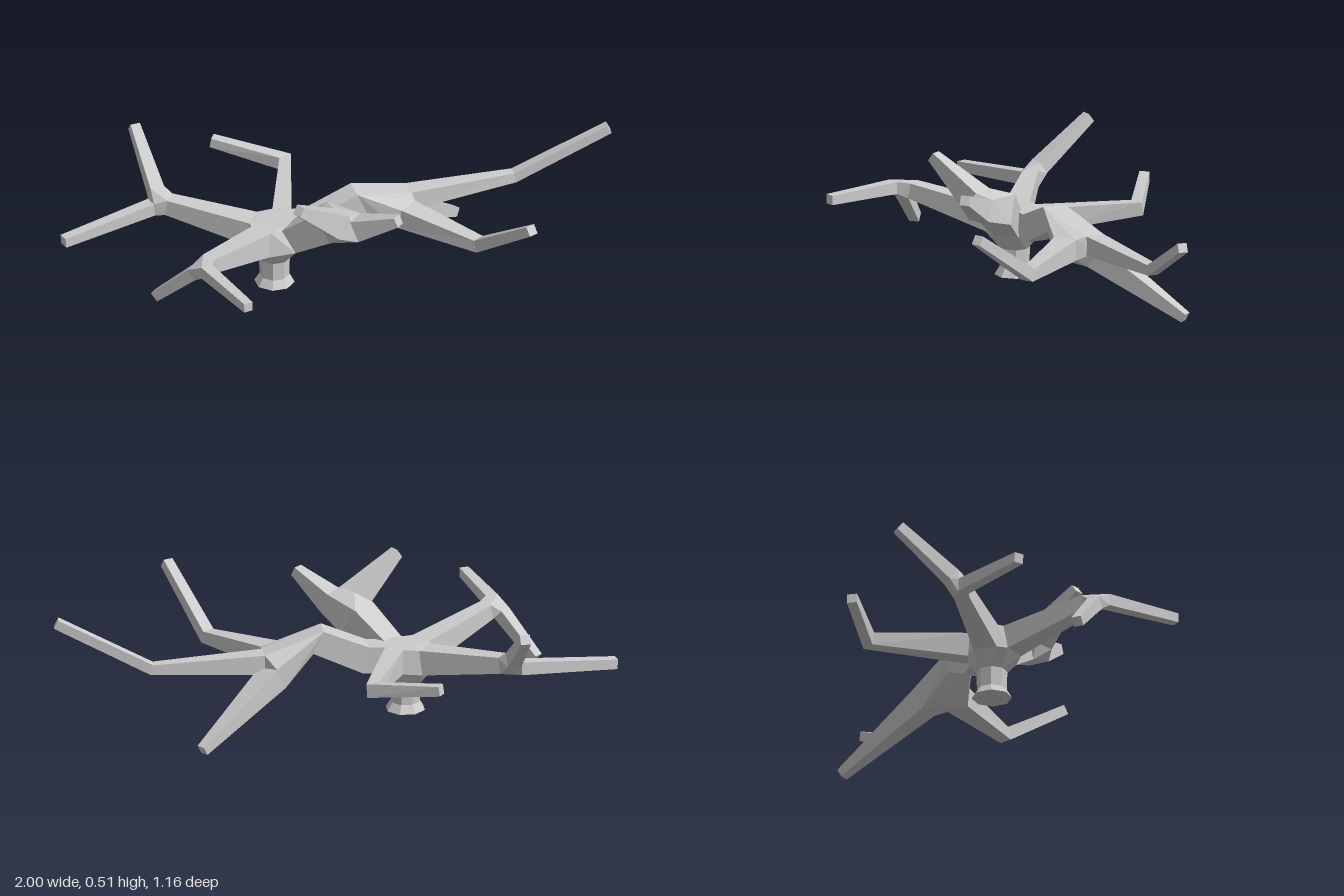
import * as THREE from 'three';
import { ConvexGeometry } from 'three/addons/geometries/ConvexGeometry.js';

const material = new THREE.MeshStandardMaterial({ color: 0xcccccc, flatShading: true });

function part(name, geometry) {
  const mesh = new THREE.Mesh(geometry, material);
  mesh.name = name;
  return mesh;
}

// Four-cornered cross-sections along a path; each node is [x, y, z, halfWidth, halfHeight]
function crossSections(nodes) {
  const p = nodes.map(n => new THREE.Vector3(n[0], n[1], n[2]));
  const up = new THREE.Vector3(0, 1, 0);
  const last = p.length - 1;
  return nodes.map((n, i) => {
    const before = p[i].clone().sub(p[Math.max(i - 1, 0)]).normalize();
    const after = p[Math.min(i + 1, last)].clone().sub(p[i]).normalize();
    const dir = before.clone().add(after).normalize();
    const side = new THREE.Vector3().crossVectors(dir, up).normalize();
    const top = new THREE.Vector3().crossVectors(side, dir).normalize();
    // widen the mitre at sideways bends
    if (i > 0 && i < last) {
      const a = before.setY(0).normalize(), b = after.setY(0).normalize();
      side.divideScalar(Math.max(0.6, Math.sqrt((1 + a.dot(b)) / 2)));
    }
    return [[-1, -1], [1, -1], [1, 1], [-1, 1]].map(([s, t]) =>
      p[i].clone().addScaledVector(side, s * n[3]).addScaledVector(top, t * (n[4] ?? n[3])));
  });
}

// Closed tapering branch through its cross-sections
function branchGeometry(rings) {
  const pos = [];
  const quad = (a, b, c, d) => [a, b, c, a, c, d].forEach(v => pos.push(v.x, v.y, v.z));
  const last = rings.length - 1;
  for (let i = 0; i < last; i++) {
    for (let k = 0; k < 4; k++) {
      const m = (k + 1) % 4;
      quad(rings[i][k], rings[i + 1][k], rings[i + 1][m], rings[i][m]);
    }
  }
  quad(...rings[0]);
  quad(...[...rings[last]].reverse());
  const geo = new THREE.BufferGeometry();
  geo.setAttribute('position', new THREE.Float32BufferAttribute(pos, 3));
  geo.computeVertexNormals();
  return geo;
}

export function createModel() {
  const model = new THREE.Group();
  model.name = 'branchingStem';

  const paths = {
    // Back right limb and its two twigs
    backRightLimb: [[-0.335, 0.23, -0.065, 0.043, 0.046], [-0.585, 0.272, -0.245, 0.028, 0.03]],
    backRightOuterTwig: [[-0.645, 0.262, -0.26, 0.022, 0.024], [-0.997, 0.23, -0.18, 0.018]],
    backRightUpperTwig: [[-0.617, 0.305, -0.298, 0.026], [-0.633, 0.458, -0.502, 0.018]],
    // Front right limb and its two twigs
    frontRightLimb: [[-0.335, 0.23, 0.035, 0.043, 0.046], [-0.585, 0.293, 0.225, 0.028, 0.028]],
    frontRightLowerTwig: [[-0.642, 0.275, 0.235, 0.023], [-0.75, 0.14, 0.13, 0.018]],
    frontRightOuterTwig: [[-0.612, 0.303, 0.29, 0.022], [-0.548, 0.307, 0.575, 0.017]],
    // Bent limb at the back
    backLimb: [[-0.215, 0.235, -0.085, 0.034, 0.045], [-0.1, 0.262, -0.42, 0.02, 0.025],
      [-0.325, 0.306, -0.565, 0.018]],
    // Arched left limb and its three arms
    leftLimb: [[-0.19, 0.235, -0.023, 0.043, 0.048], [-0.12, 0.235, -0.022, 0.041, 0.05],
      [0.05, 0.31, -0.02, 0.043, 0.045]],
    leftLongArm: [[0.25, 0.252, -0.072, 0.035, 0.036], [0.65, 0.255, -0.095, 0.019], [0.985, 0.423, -0.042, 0.017]],
    leftFrontArm: [[0.215, 0.242, 0.03, 0.043, 0.038], [0.405, 0.225, 0.275, 0.023], [0.518, 0.41, 0.535, 0.018]],
    leftDroopingArm: [[0.215, 0.207, -0.1, 0.04, 0.045], [0.495, 0.017, -0.305, 0.017]],
    // Raised front limb and its two stubby arms
    frontLimb: [[-0.21, 0.235, 0.04, 0.045, 0.048], [-0.11, 0.325, 0.13, 0.055, 0.058]],
    frontRightArm: [[-0.11, 0.368, 0.215, 0.042, 0.045], [-0.275, 0.5, 0.302, 0.018]],
    frontLeftArm: [[-0.03, 0.352, 0.24, 0.037, 0.04], [0.078, 0.427, 0.358, 0.018]],
  };
  const rings = {};
  for (const [name, nodes] of Object.entries(paths)) {
    rings[name] = crossSections(nodes);
    model.add(part(name, branchGeometry(rings[name])));
  }

  // Faceted joints spanning the end of a limb and the roots of its offshoots
  const joints = {
    backRightFork: ['backRightLimb', 'backRightOuterTwig', 'backRightUpperTwig'],
    frontRightFork: ['frontRightLimb', 'frontRightLowerTwig', 'frontRightOuterTwig'],
    leftFork: ['leftLimb', 'leftLongArm', 'leftFrontArm', 'leftDroopingArm'],
    frontFork: ['frontLimb', 'frontRightArm', 'frontLeftArm'],
  };
  for (const [name, [limb, ...offshoots]] of Object.entries(joints)) {
    const corners = [...rings[limb].at(-1), ...offshoots.flatMap(o => rings[o][0])];
    model.add(part(name, new ConvexGeometry(corners)));
  }

  // Eight-sided trunk with a flared foot
  const centre = new THREE.Vector3(-0.265, 0, -0.016);
  const profile = [[0, 0.03], [0.072, 0.03], [0.053, 0.06], [0.055, 0.13], [0, 0.13]]
    .map(([x, y]) => new THREE.Vector2(x, y));
  const trunk = part('trunk', new THREE.LatheGeometry(profile, 8, Math.PI / 8));
  trunk.position.copy(centre);
  model.add(trunk);

  // Hub widening from the trunk to the roots of the five limbs
  const hubCorners = ['backRightLimb', 'frontRightLimb', 'backLimb', 'leftLimb', 'frontLimb']
    .flatMap(limb => rings[limb][0]);
  for (let i = 0; i < 8; i++) {
    const a = (i + 0.5) * Math.PI / 4;
    hubCorners.push(new THREE.Vector3(0.055 * Math.sin(a), 0.13, 0.055 * Math.cos(a)).add(centre));
  }
  model.add(part('hub', new ConvexGeometry(hubCorners)));
  return model;
}
